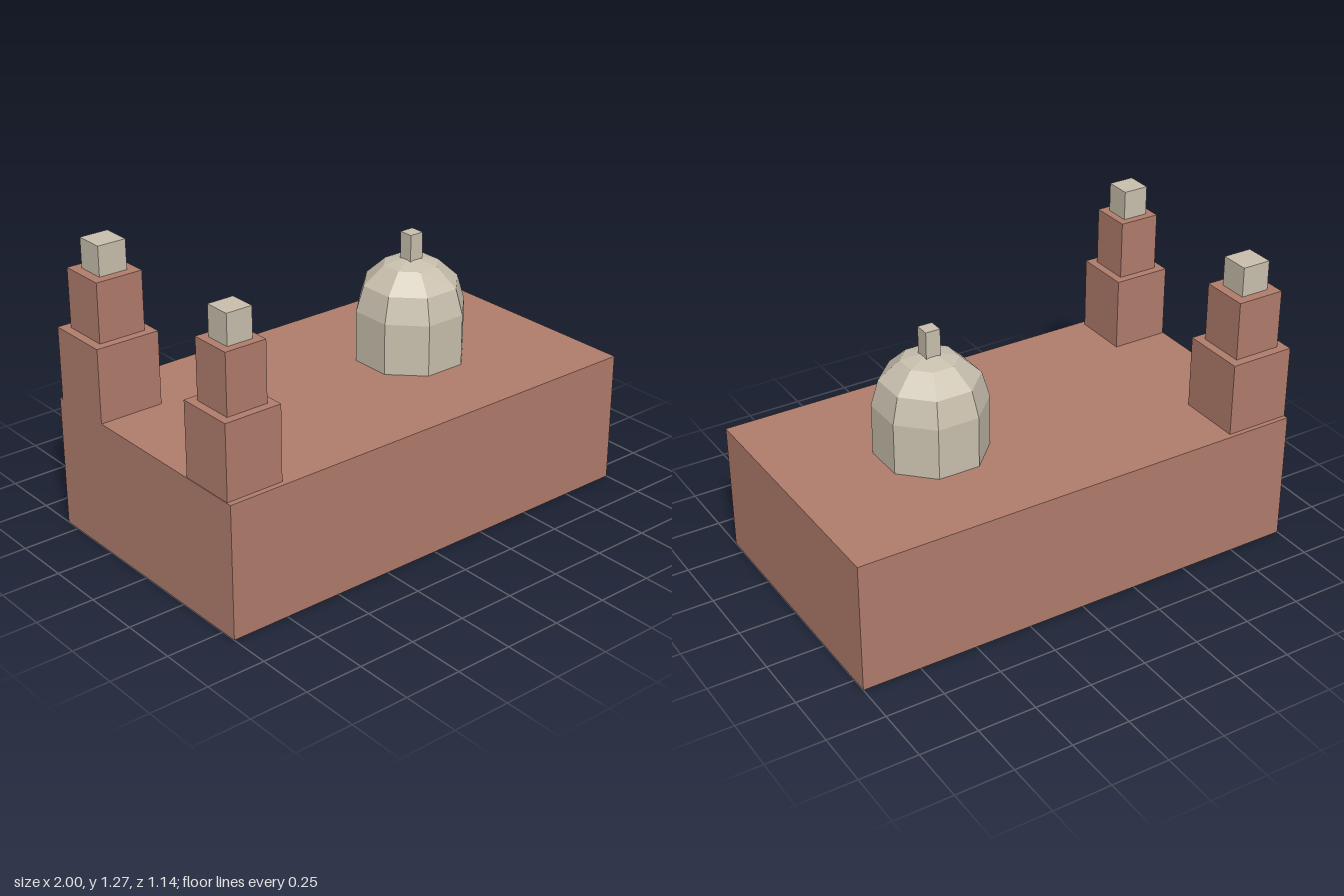
import * as THREE from 'three';

const brick = new THREE.MeshStandardMaterial({ color: 0xb07c6c, flatShading: true, side: THREE.DoubleSide });
brick.name = 'brick red';
const stone = new THREE.MeshStandardMaterial({ color: 0xc8bfad, flatShading: true, side: THREE.DoubleSide });
stone.name = 'pale stone';

// box shell without its bottom face, standing between two heights
function openBox(name, material, width, depth, y0, y1, x, z) {
  const geometry = new THREE.BoxGeometry(width, y1 - y0, depth);
  const index = Array.from(geometry.index.array);
  index.splice(18, 6); // the bottom face
  geometry.setIndex(index);
  geometry.clearGroups();
  const mesh = new THREE.Mesh(geometry, material);
  mesh.name = name;
  mesh.position.set(x, (y0 + y1) / 2, z);
  return mesh;
}

// stepped tower: hollow shaft from the ground, middle tier, stone cap
function tower(name, x, z, widths) {
  const group = new THREE.Group();
  group.name = name;
  group.add(
    openBox('towerShaft', brick, widths[0], widths[0], 0, 0.886, 0, 0),
    openBox('towerTier', brick, widths[1], widths[1], 0.886, 1.139, 0, 0),
    openBox('towerCap', stone, widths[2], widths[2], 1.139, 1.266, 0, 0)
  );
  group.position.set(x, 0, z);
  return group;
}

export function createModel() {
  const model = new THREE.Group();
  model.name = 'domedHall';
  const roof = 0.569;

  // main hall, hollow and open underneath
  model.add(openBox('hall', brick, 2, 1.142, 0, roof, 0, 0));

  // two towers on the right-hand end
  model.add(tower('backTower', -0.859, -0.41, [0.282, 0.207, 0.125]));
  model.add(tower('frontTower', -0.872, 0.423, [0.25, 0.18, 0.112]));

  // eight-sided drum and dome with flat sides facing the axes
  const apothem = 0.219;
  const radius = apothem / Math.cos(Math.PI / 8);
  const profile = [new THREE.Vector2(radius, roof)];
  for (let i = 0; i <= 3; i++) {
    const a = (i * Math.PI) / 6;
    profile.push(new THREE.Vector2(i === 3 ? 0 : radius * Math.cos(a), 0.791 + 0.22 * Math.sin(a)));
  }
  const dome = new THREE.Mesh(new THREE.LatheGeometry(profile, 8, Math.PI / 8), stone);
  dome.name = 'dome';
  dome.position.x = 0.36;
  model.add(dome);

  // square finial
  model.add(openBox('finial', stone, 0.064, 0.064, 0.99, 1.115, 0.36, 0));
  return model;
}
